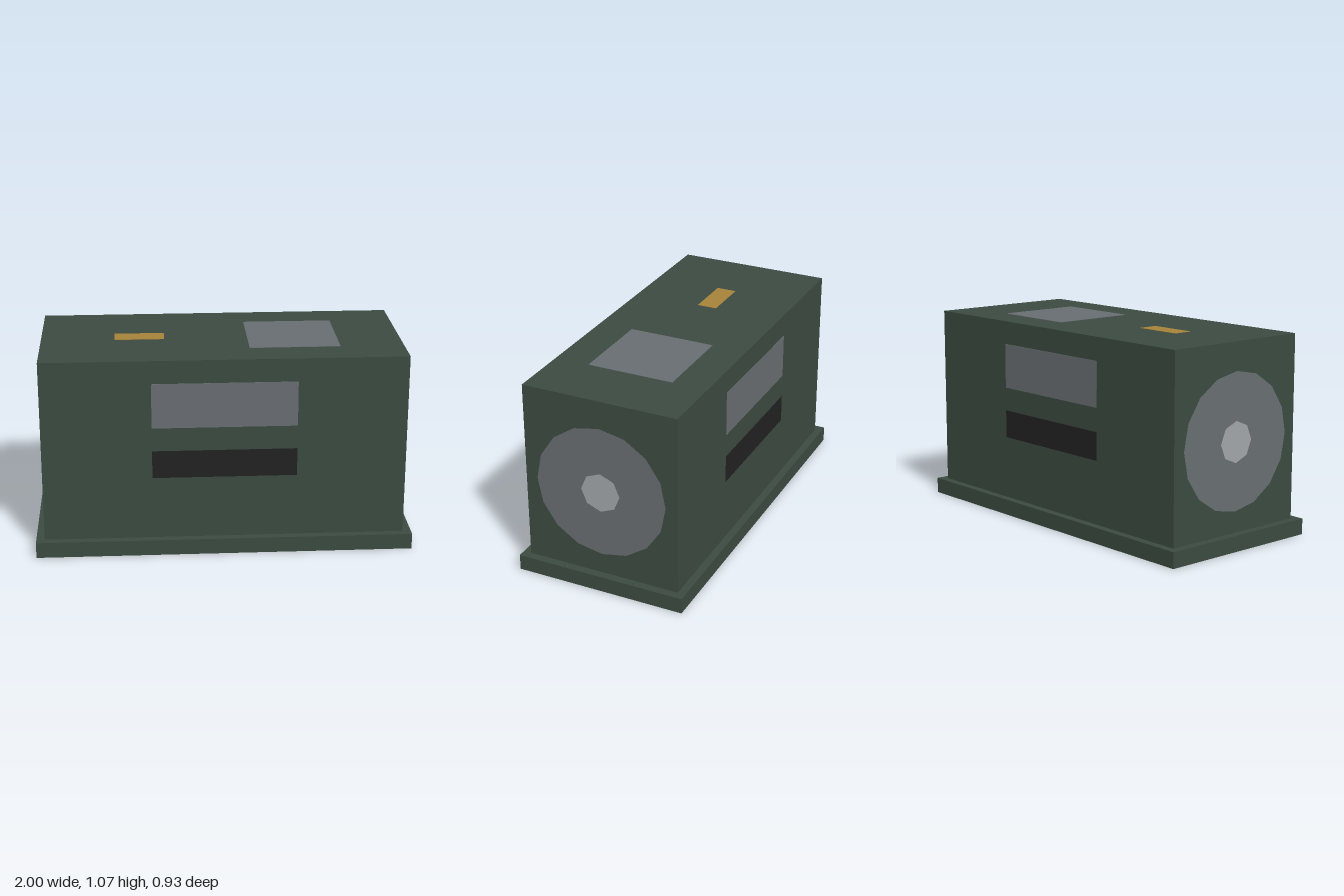
import * as THREE from 'three';

const paint = (name, color) => {
  const m = new THREE.MeshStandardMaterial({ color });
  m.name = name;
  return m;
};

export function createModel() {
  const green = paint('dark green', 0x3b4a40);
  green.side = THREE.DoubleSide;
  const grey = paint('steel grey', 0x686d71);
  const light = paint('light grey', 0xa0a5a8);
  const black = paint('black', 0x222222);
  const gold = paint('brass', 0xa5823a);

  const model = new THREE.Group();
  model.name = 'housing';
  const add = (name, geo, mat, x, y, z, parent = model) => {
    const mesh = new THREE.Mesh(geo, mat);
    mesh.name = name;
    mesh.position.set(x, y, z);
    parent.add(mesh);
    return mesh;
  };

  // Box without its underside (the fourth face of a box is -y)
  const openBox = (w, h, d) => {
    const geo = new THREE.BoxGeometry(w, h, d);
    const index = Array.from(geo.index.array);
    index.splice(18, 6);
    geo.setIndex(index);
    geo.clearGroups();
    return geo;
  };

  const BASE_H = 0.085, TOP = 1.068, BODY_X = 0.955, BODY_Z = 0.425, T = 0.004;

  // Hollow base tray and the main casing standing on it
  add('base', openBox(2, BASE_H, 0.934), green, 0, BASE_H / 2, 0);
  add('body', openBox(BODY_X * 2, TOP - BASE_H, BODY_Z * 2), green, 0, (TOP + BASE_H) / 2, 0);

  // Panel and slot on front and back
  for (const s of [1, -1]) {
    const side = s > 0 ? 'front' : 'back';
    add(side + 'Panel', new THREE.BoxGeometry(0.76, 0.242, T), grey, 0, 0.823, s * BODY_Z);
    add(side + 'Slot', new THREE.BoxGeometry(0.76, 0.15, T), black, 0, 0.5, s * BODY_Z);
  }

  // Round cover with a hub on each end, and the base bolts beside it
  for (const s of [1, -1]) {
    const end = new THREE.Group();
    end.name = s > 0 ? 'leftEnd' : 'rightEnd';
    model.add(end);
    const cover = add('endCover', new THREE.CircleGeometry(0.361, 16), grey, s * (BODY_X + 0.002), 0.558, 0, end);
    const hub = add('endHub', new THREE.CircleGeometry(0.108, 8), light, s * (BODY_X + 0.004), 0.558, 0, end);
    cover.rotation.y = hub.rotation.y = s * Math.PI / 2;
    for (const z of [0.2, -0.2]) {
      const bolt = add('bolt', new THREE.OctahedronGeometry(0.018), green, s * 0.978, BASE_H, z, end);
      bolt.scale.y = 0.6;
    }
  }

  // Hatch and brass plate on the roof
  add('roofHatch', new THREE.BoxGeometry(0.478, T, 0.47), grey, 0.38, TOP, 0);
  add('roofPlate', new THREE.BoxGeometry(0.264, T, 0.108), gold, -0.433, TOP, 0);

  return model;
}
